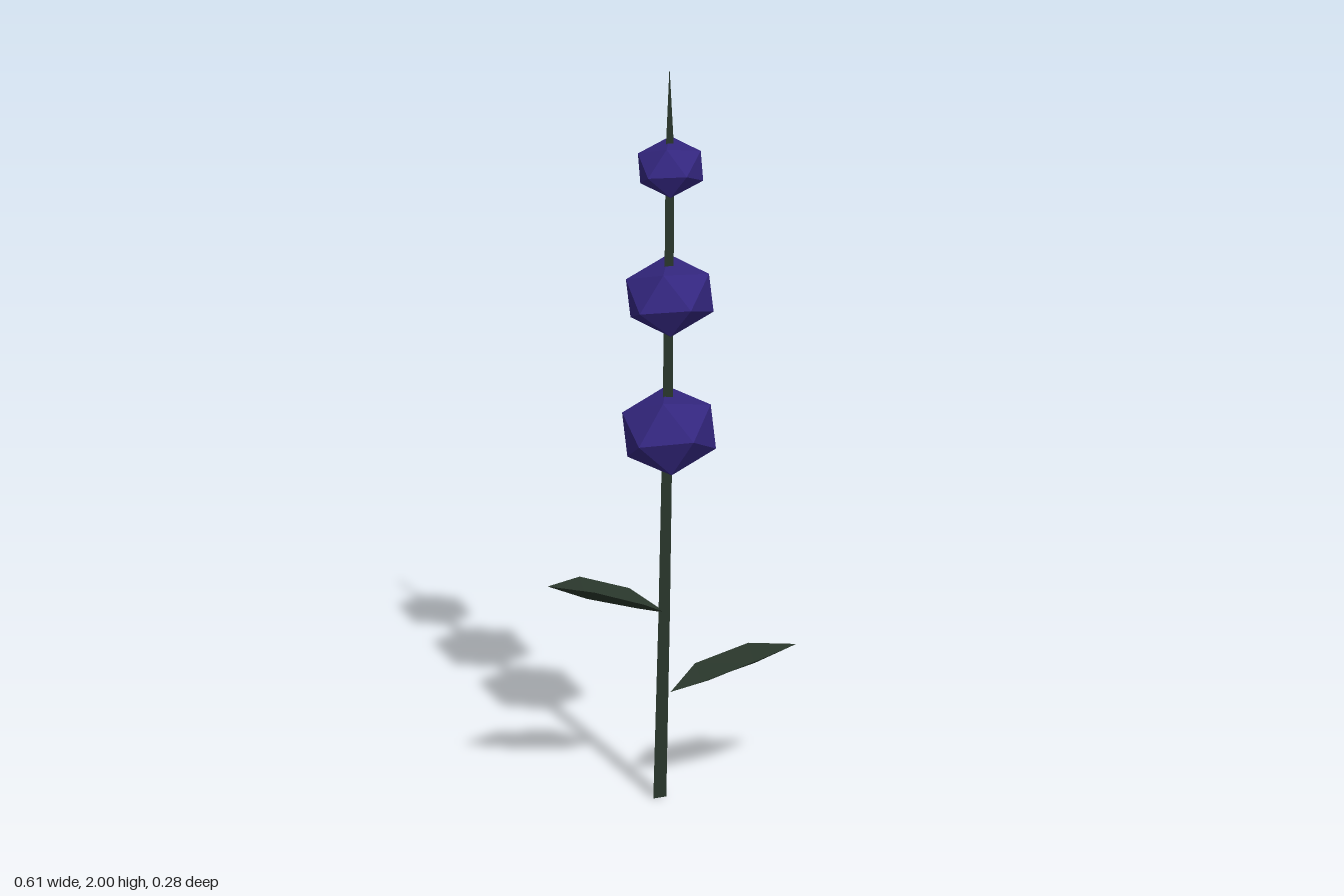
import * as THREE from 'three';

const leafGreen = new THREE.MeshStandardMaterial({ color: 0x28352a, flatShading: true, side: THREE.DoubleSide });
leafGreen.name = 'dark green';
const petalPurple = new THREE.MeshStandardMaterial({ color: 0x33267e, flatShading: true });
petalPurple.name = 'deep purple';

// Stem: three-sided tapering stalk that leans gently and ends in a spike
function makeStem() {
  // each ring: centre x, y, centre z, radius
  const rings = [
    [-0.037, 0, 0.003, 0.021],
    [-0.025, 0.5, 0.006, 0.0185],
    [-0.016, 1.0, 0.01, 0.0165],
    [-0.011, 1.4, 0.015, 0.015],
    [-0.008, 1.78, 0.019, 0.0135],
    [-0.006, 2.0, 0.022, 0.0005],
  ];
  const n = rings.length - 1;
  const geometry = new THREE.CylinderGeometry(1, 1, n, 3, n, false, Math.PI / 2);
  const p = geometry.attributes.position;
  for (let i = 0; i < p.count; i++) {
    const [x, y, z, r] = rings[Math.round(p.getY(i) + n / 2)];
    p.setXYZ(i, x + p.getX(i) * r, y, z + p.getZ(i) * r);
  }
  geometry.computeVertexNormals();
  const mesh = new THREE.Mesh(geometry, leafGreen);
  mesh.name = 'stem';
  return mesh;
}

// Leaf: folded blade along +x with a low midrib and raised edges
function makeLeaf(name, base, yaw, length, rise) {
  // each row: distance along, half width, midrib height, edge height
  const rows = [
    [0, 0, 0, 0],
    [0.25, 0.062, 0.2, 0.49],
    [0.67, 0.059, 0.58, 0.93],
    [1, 0, 1, 1],
  ];
  const geometry = new THREE.PlaneGeometry(2, 3, 2, 3);
  const p = geometry.attributes.position;
  for (let i = 0; i < p.count; i++) {
    const side = Math.round(p.getX(i));
    const [along, width, rib, edge] = rows[Math.round(p.getY(i) + 1.5)];
    p.setXYZ(i, along * length, (side ? edge : rib) * rise, side * width);
  }
  geometry.computeVertexNormals();
  const mesh = new THREE.Mesh(geometry, leafGreen);
  mesh.name = name;
  mesh.position.set(...base);
  mesh.rotation.y = yaw;
  return mesh;
}

// Blossom: squashed, slightly tilted icosahedron
function makeBlossom(name, centre, size, tilt) {
  const geometry = new THREE.IcosahedronGeometry(1, 0);
  geometry.rotateY(Math.PI / 2);
  geometry.scale(...size);
  const mesh = new THREE.Mesh(geometry, petalPurple);
  mesh.name = name;
  mesh.position.set(...centre);
  mesh.rotation.set(...tilt);
  return mesh;
}

export function createModel() {
  const group = new THREE.Group();
  group.name = 'flower';
  group.add(
    makeStem(),
    makeLeaf('rightLeaf', [-0.015, 0.503, 0.003], Math.PI + 0.418, 0.32, 0.112),
    makeLeaf('leftLeaf', [-0.005, 0.287, 0.004], 0.388, 0.335, 0.094),
    makeBlossom('lowerBlossom', [-0.008, 1.007, 0.013], [0.134, 0.113, 0.144], [-0.06, 0.04, 0.12]),
    makeBlossom('middleBlossom', [-0.006, 1.378, 0.015], [0.126, 0.1, 0.134], [0.03, 0, 0.11]),
    makeBlossom('upperBlossom', [-0.003, 1.734, 0.025], [0.095, 0.077, 0.096], [-0.02, 0, 0.08]),
  );
  return group;
}
